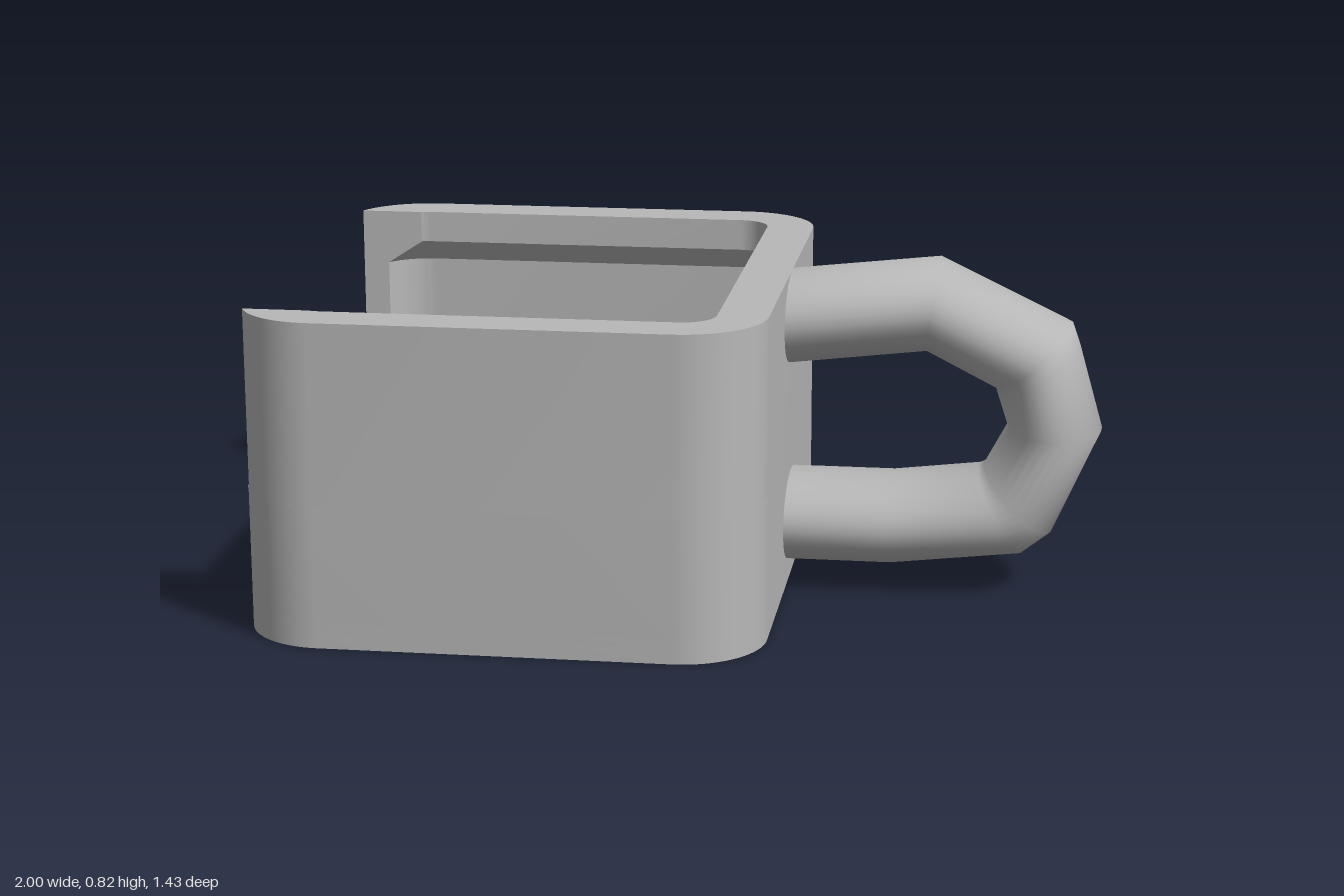
import * as THREE from 'three';
import { toCreasedNormals } from 'three/addons/utils/BufferGeometryUtils.js';

// Corner centres shared by every rounded outline of the box
const X0 = -0.8, X1 = 0.035, ZC = 0.515;
const R_OUT = 0.2, R_IN = 0.14, R_LIP = 0.08;
const FLOOR = 0.06, NOTCH_Y = 0.345, NOTCH_Z = 0.59, TOP = 0.78, PIT = 0.037;

// Smooth skin over a grid of points (rows of equal length)
function loft(rows, crease) {
  const n = rows[0].length, index = [];
  for (let r = 0; r < rows.length - 1; r++) {
    for (let c = 0; c < n - 1; c++) {
      const a = r * n + c, b = a + 1, d = a + n, e = d + 1;
      index.push(a, b, e, a, e, d);
    }
  }
  const geo = new THREE.BufferGeometry().setFromPoints(rows.flat());
  geo.setIndex(index);
  return toCreasedNormals(geo, crease);
}

function roundedOutline(target, r) {
  target.absarc(X1, ZC, r, 0, Math.PI / 2);
  target.absarc(X0, ZC, r, Math.PI / 2, Math.PI);
  target.absarc(X0, -ZC, r, Math.PI, Math.PI * 1.5);
  target.absarc(X1, -ZC, r, Math.PI * 1.5, Math.PI * 2);
  target.closePath();
  return target;
}

function slab(holes, y0, y1) {
  const shape = roundedOutline(new THREE.Shape(), R_OUT);
  shape.holes.push(...holes);
  const geo = new THREE.ExtrudeGeometry(shape, { depth: y1 - y0, bevelEnabled: false, curveSegments: 14 });
  geo.rotateX(-Math.PI / 2).translate(0, y0, 0);
  return toCreasedNormals(geo, 0.6);
}

// Outline that runs round three sides and stops at the open notch
function openOutline(r, y) {
  const end = Math.PI - Math.asin((NOTCH_Z - ZC) / r), q = Math.PI / 2, seg = 14;
  const arcs = [[X0, ZC, end, q], [X1, ZC, q, 0], [X1, -ZC, 0, -q], [X0, -ZC, -q, -end]];
  const pts = [];
  for (const [cx, cz, a0, a1] of arcs) {
    for (let i = 0; i <= seg; i++) {
      const a = a0 + (a1 - a0) * i / seg;
      pts.push(new THREE.Vector3(cx + r * Math.cos(a), y, cz + r * Math.sin(a)));
    }
  }
  return pts;
}

export function createModel() {
  const group = new THREE.Group();
  const grey = new THREE.MeshStandardMaterial({ color: 0xb8b8b8 });
  grey.name = 'grey';
  const add = (name, geo) => {
    const mesh = new THREE.Mesh(geo, grey);
    mesh.name = name;
    group.add(mesh);
  };

  // Base with four round pits underneath, floor, and the low wall
  const pits = [];
  for (const x of [X0, X1]) {
    for (const z of [-ZC, ZC]) {
      const hole = new THREE.Path();
      hole.absarc(x, z, 0.1, 0, Math.PI * 2);
      pits.push(hole);
    }
  }
  add('baseWithPits', slab(pits, 0, PIT));
  add('floor', slab([], PIT, FLOOR));
  add('lowerWall', slab([roundedOutline(new THREE.Path(), R_IN)], FLOOR, NOTCH_Y));

  // Upper wall, open on one side, with an overhanging inner lip
  const profile = [[R_OUT, NOTCH_Y], [R_OUT, TOP], [R_LIP, TOP], [R_LIP, 0.7], [R_IN, 0.64], [R_IN, NOTCH_Y]];
  add('upperWall', loft(profile.map(([r, y]) => openOutline(r, y)), 0.5));

  // Flat wall ends either side of the notch
  for (const s of [-1, 1]) {
    const pts = profile.map(([r, y]) =>
      new THREE.Vector2(s * (X0 - Math.sqrt(r * r - (NOTCH_Z - ZC) ** 2)), y));
    const geo = new THREE.ShapeGeometry(new THREE.Shape(pts));
    if (s < 0) geo.rotateY(Math.PI);
    geo.translate(0, 0, -s * NOTCH_Z);
    add('wallEnd', geo);
  }

  // Handle: oval sections, each given by its outer and inner point (x, y)
  const sections = [
    [0.2, 0.776, 0.2, 0.55], [0.597, 0.82, 0.57, 0.594],
    [0.923, 0.664, 0.738, 0.508], [0.942, 0.61, 0.742, 0.495],
    [1.0, 0.407, 0.77, 0.41],
    [0.885, 0.145, 0.715, 0.306], [0.815, 0.09, 0.7, 0.298],
    [0.49, 0.052, 0.49, 0.273], [0.2, 0.052, 0.2, 0.273],
  ];
  const rings = sections.map(([ox, oy, ix, iy]) => {
    const ring = [];
    for (let i = 0; i <= 32; i++) {
      const a = i / 32 * Math.PI * 2, k = Math.cos(a) / 2;
      ring.push(new THREE.Vector3(
        (ox + ix) / 2 + (ox - ix) * k, (oy + iy) / 2 + (oy - iy) * k, 0.175 * Math.sin(a)));
    }
    return ring;
  });
  add('handle', loft(rings, 0.8));

  return group;
}
